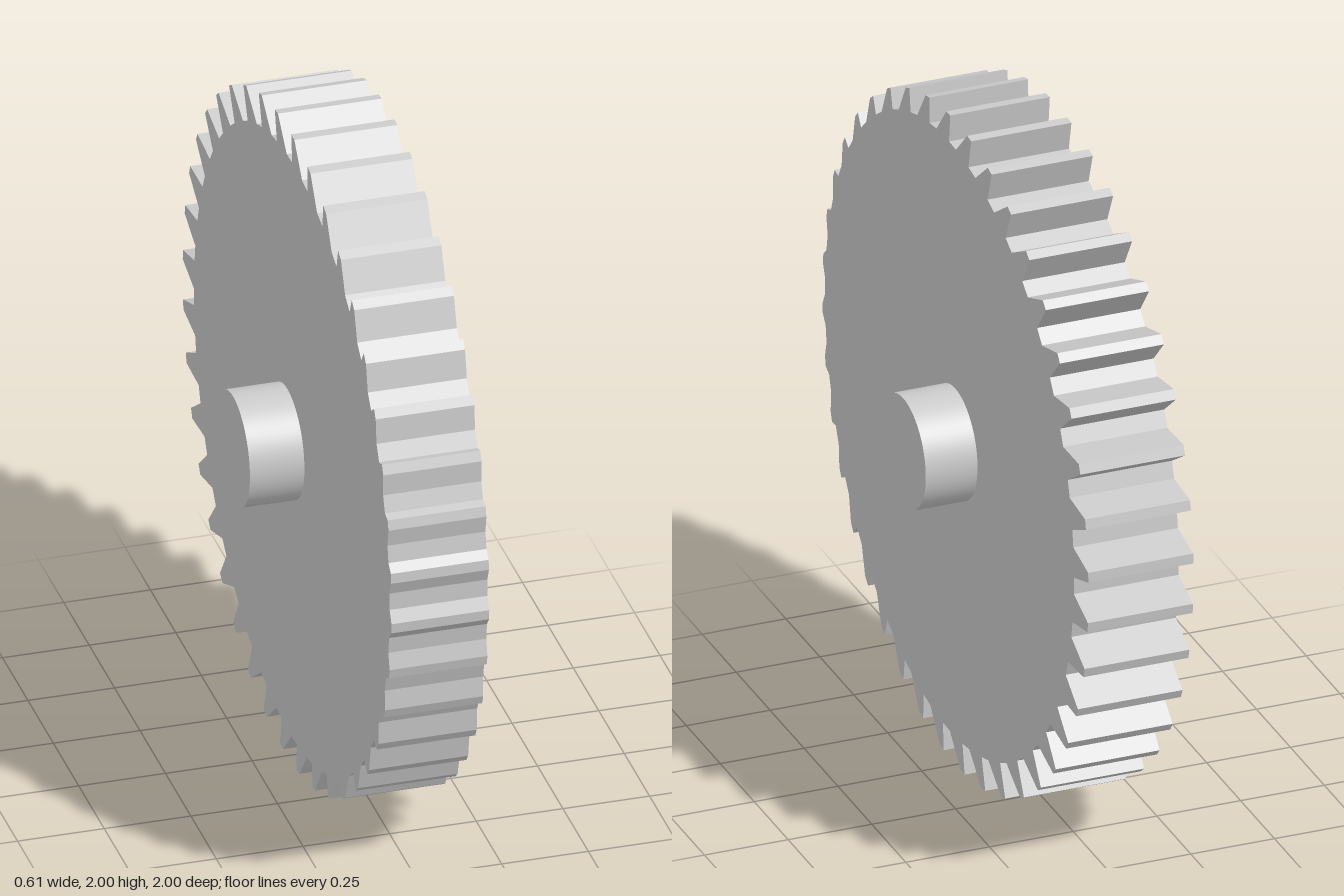
import * as THREE from 'three';

const TEETH = 40;
const PITCH = (Math.PI * 2) / TEETH;
const PHASE = THREE.MathUtils.degToRad(3.1);

// Tips lie on a unit circle; roots on a slightly off-centre ellipse,
// so the teeth are deep at the back and nearly vanish at the front.
const tip = (a) => [Math.cos(a), Math.sin(a)];
const root = (a) => [-0.045 + 0.936 * Math.cos(a), 0.914 * Math.sin(a)];

function gearShape() {
  const shape = new THREE.Shape();
  for (let i = 0; i < TEETH; i++) {
    const a = PHASE + i * PITCH;
    const mid = a + PITCH / 2;
    const points = [tip(a - 0.015), tip(a + 0.015), root(mid - 0.028), root(mid + 0.028)];
    points.forEach(([u, v], j) => (i + j === 0 ? shape.moveTo(u, v) : shape.lineTo(u, v)));
  }
  shape.closePath();
  return shape;
}

export function createModel() {
  const group = new THREE.Group();
  group.name = 'gearWheel';
  const material = new THREE.MeshStandardMaterial({ color: 0xcccccc });

  // Toothed wheel, extruded along x and a little thicker towards the back
  const wheelGeo = new THREE.ExtrudeGeometry(gearShape(), { depth: 2, bevelEnabled: false });
  wheelGeo.translate(0, 0, -1).rotateY(Math.PI / 2);
  const pos = wheelGeo.attributes.position;
  for (let i = 0; i < pos.count; i++) {
    pos.setX(i, pos.getX(i) * (0.149 - 0.008 * pos.getZ(i)));
  }
  wheelGeo.computeVertexNormals();
  const wheel = new THREE.Mesh(wheelGeo, material);
  wheel.name = 'toothedWheel';
  wheel.position.y = 1;
  group.add(wheel);

  // Axle running through the centre
  const axle = new THREE.Mesh(new THREE.CylinderGeometry(0.166, 0.166, 0.61, 64), material);
  axle.name = 'axle';
  axle.rotation.z = Math.PI / 2;
  axle.position.y = 1.003;
  group.add(axle);

  return group;
}
